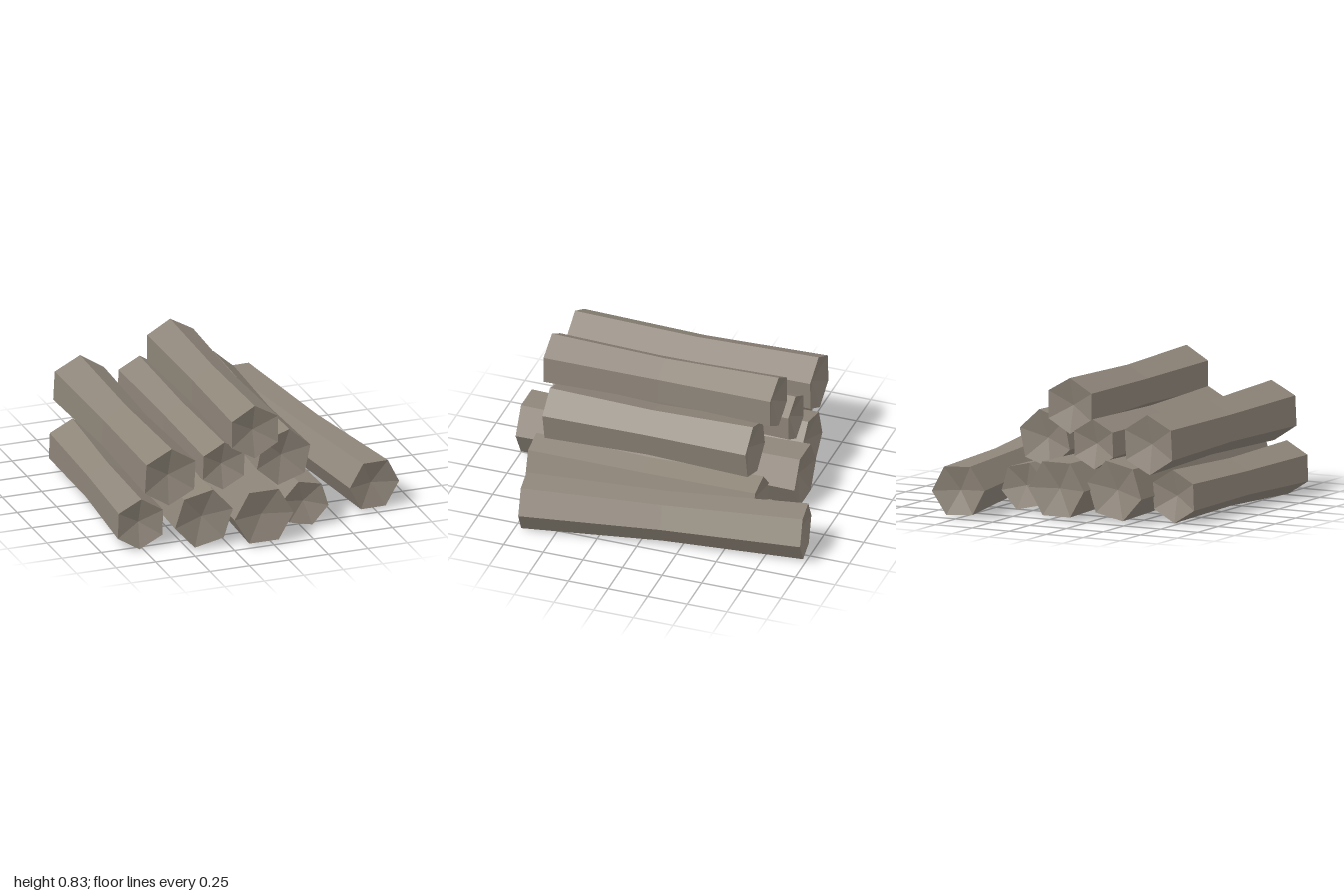
import * as THREE from 'three';

// name, front end centre [x, y, z], back end centre [x, y, z], radius, angle of first corner in degrees
const LOGS = [
  ['bottomLogFarRight', [-0.765, 0.165, 0.785], [-0.71, 0.165, -0.52], 0.16, 28],
  ['bottomLogRight', [-0.41, 0.198, 0.91], [-0.4, 0.198, -0.685], 0.187, 12],
  ['bottomLogMiddle', [-0.06, 0.193, 0.99], [-0.055, 0.193, -0.77], 0.187, 0],
  ['bottomLogLeft', [0.265, 0.165, 0.825], [0.26, 0.165, -0.605], 0.15, -13],
  ['looseLog', [0.743, 0.17, 0.715], [0.497, 0.17, -0.973], 0.167, -3],
  ['middleLogRight', [-0.612, 0.482, 0.88], [-0.615, 0.485, -0.655], 0.18, 27],
  ['middleLogCentre', [-0.236, 0.46, 0.78], [-0.238, 0.46, -0.645], 0.15, 28],
  ['middleLogLeft', [0.155, 0.448, 0.75], [0.155, 0.448, -0.53], 0.178, 18],
  ['topLog', [-0.057, 0.67, 0.828], [-0.055, 0.67, -0.602], 0.168, 30],
];
const WAIST = 0.89;   // logs are slimmer halfway along
const HOLLOW = 0.045; // ends are dished inwards

// Six-sided log lying along z, with a narrowed middle and dished ends
function logGeometry(length, radius, corner) {
  const h = length / 2;
  const profile = [
    [0, -h + HOLLOW], [radius, -h], [radius * WAIST, 0], [radius, h], [0, h - HOLLOW],
  ].map(([r, y]) => new THREE.Vector2(r, y));
  return new THREE.LatheGeometry(profile, 6)
    .rotateX(Math.PI / 2)
    .rotateZ(THREE.MathUtils.degToRad(corner + 90));
}

export function createModel() {
  const group = new THREE.Group();
  group.name = 'logPile';
  const wood = new THREE.MeshStandardMaterial({ color: 0x8f867a, flatShading: true });
  wood.name = 'greyBrownWood';

  for (const [name, front, back, radius, corner] of LOGS) {
    const a = new THREE.Vector3(...front);
    const b = new THREE.Vector3(...back);
    const log = new THREE.Mesh(logGeometry(a.distanceTo(b), radius, corner), wood);
    log.name = name;
    log.position.copy(a).add(b).multiplyScalar(0.5);
    log.lookAt(a);
    group.add(log);
  }
  return group;
}
